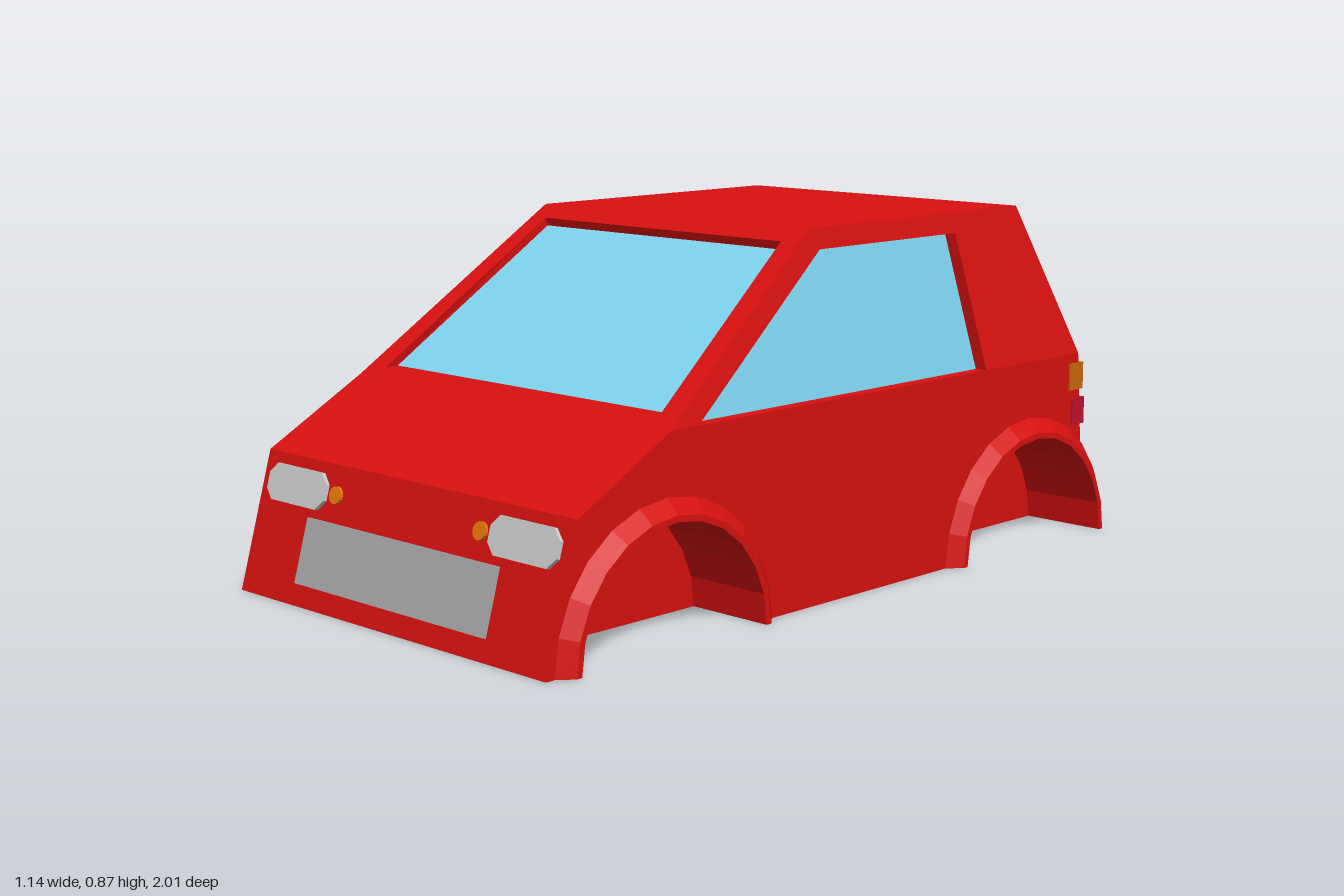
import * as THREE from 'three';

const mat = (color) => new THREE.MeshStandardMaterial({ color, flatShading: true, side: THREE.DoubleSide });
const RED = mat(0xd81010), GLASS = mat(0x7fd4f0), GREY = mat(0xaaaaaa), LAMP = mat(0xcccccc);
const ORANGE = mat(0xe8780c), AMBER = mat(0xc8690c), CRIMSON = mat(0xc01030);

const HALF = 0.54;        // half width below the waist
const WELL = 0.34;        // inner wall of the wheel wells
const ARCH_R = 0.285, ARCH_SEGS = 12;
const AXLES = [0.64, -0.67];

function add(parent, name, geometry, material) {
  const mesh = new THREE.Mesh(geometry, material);
  mesh.name = name;
  parent.add(mesh);
  return mesh;
}

// Geometry from a list of four-cornered faces
function quads(list) {
  const pos = [];
  for (const [a, b, c, d] of list) pos.push(...a, ...b, ...c, ...a, ...c, ...d);
  const g = new THREE.BufferGeometry();
  g.setAttribute('position', new THREE.Float32BufferAttribute(pos, 3));
  g.computeVertexNormals();
  return g;
}

// Panel with a window opening: frame, reveal and recessed glass (corners counter-clockwise)
function windowPanel(parent, name, outer, hole, glass) {
  const faces = [];
  for (let i = 0; i < 4; i++) {
    const j = (i + 1) % 4;
    faces.push([outer[i], outer[j], hole[j], hole[i]], [hole[i], hole[j], glass[j], glass[i]]);
  }
  add(parent, name + 'Frame', quads(faces), RED);
  add(parent, name + 'Glass', quads([glass]), GLASS);
}

// Symmetric quad: bottom edge then top edge, each given as [half width, y, z]
const across = ([bx, by, bz], [tx, ty, tz]) =>
  [[-bx, by, bz], [bx, by, bz], [tx, ty, tz], [-tx, ty, tz]];

// Lower body slab between two x positions, optionally cut by the wheel arches
function bodySlab(x0, x1, arches) {
  const pts = [[1, 0], [0.905, 0.33], [0.63, 0.48], [-0.88, 0.48], [-0.9, 0.24], [-0.97, 0.13], [-1, 0]];
  if (arches) {
    for (const z of [...AXLES].reverse()) {
      for (let i = 0; i <= ARCH_SEGS; i++) {
        const a = Math.PI * (1 - i / ARCH_SEGS);
        pts.push([z + ARCH_R * Math.cos(a), ARCH_R * Math.sin(a)]);
      }
    }
  }
  const shape = new THREE.Shape(pts.map(([z, y]) => new THREE.Vector2(-z, y)));
  const g = new THREE.ExtrudeGeometry(shape, { depth: x1 - x0, bevelEnabled: false });
  return g.rotateY(Math.PI / 2).translate(x0, 0, 0);
}

// Flared lip and tunnel of one wheel arch
function wheelArch(z) {
  const group = new THREE.Group();
  group.name = 'wheelArch';
  const lip = [[0.335, HALF], [0.3, 0.57], [ARCH_R, 0.57], [ARCH_R, HALF]];
  const profile = [...lip.slice(0, 3), [ARCH_R, WELL]].map(([r, x]) => new THREE.Vector2(r, x));
  add(group, 'archLip', new THREE.LatheGeometry(profile, ARCH_SEGS, Math.PI, Math.PI).rotateZ(-Math.PI / 2), RED);
  add(group, 'archLipEnds', quads([1, -1].map((s) => lip.map(([r, x]) => [x, 0, s * r]))), RED);
  group.position.z = z;
  return group;
}

export function createModel() {
  const car = new THREE.Group();
  car.name = 'carBody';

  // Lower body
  add(car, 'lowerBodyCentre', bodySlab(-WELL, WELL, false), RED);
  add(car, 'lowerBodyLeft', bodySlab(WELL, HALF, true), RED);
  add(car, 'lowerBodyRight', bodySlab(-HALF, -WELL, true), RED);

  // Cabin
  add(car, 'roof', quads([across([0.45, 0.87, 0.09], [0.45, 0.87, -0.715])]), RED);
  windowPanel(car, 'windshield',
    across([HALF, 0.48, 0.63], [0.45, 0.87, 0.09]),
    across([0.475, 0.5, 0.602], [0.405, 0.84, 0.132]),
    across([0.475, 0.5, 0.565], [0.405, 0.82, 0.125]));
  windowPanel(car, 'rearWindow',
    across([-HALF, 0.48, -0.88], [-0.45, 0.87, -0.715]),
    across([-0.465, 0.5, -0.872], [-0.4, 0.83, -0.732]),
    across([-0.46, 0.5, -0.84], [-0.4, 0.82, -0.702]));

  // Everything that comes in mirrored pairs
  for (const s of [1, -1]) {
    const side = new THREE.Group();
    side.name = s > 0 ? 'leftSide' : 'rightSide';
    side.scale.x = s;
    car.add(side);

    const slope = (HALF - 0.45) / 0.39;
    const onSide = (inset) => ([z, y]) => [HALF - (y - 0.48) * slope - inset, y, z];
    const outer = [[0.63, 0.48], [-0.88, 0.48], [-0.715, 0.87], [0.09, 0.87]];
    const hole = [[0.545, 0.48], [-0.485, 0.48], [-0.45, 0.82], [0.06, 0.82]];
    windowPanel(side, 'sideWindow', outer.map(onSide(0)), hole.map(onSide(0)), hole.map(onSide(0.033)));

    for (const z of AXLES) side.add(wheelArch(z));

    // Tail lamps wrapping the rear corners
    const amber = add(side, 'rearIndicator', new THREE.BoxGeometry(0.09, 0.07, 0.056), AMBER);
    amber.position.set(0.5, 0.42, -0.869);
    const tail = add(side, 'tailLamp', new THREE.BoxGeometry(0.09, 0.07, 0.052), CRIMSON);
    tail.position.set(0.5, 0.327, -0.879);
  }

  // Front fittings lie on the sloping nose
  const nose = new THREE.Group();
  nose.name = 'noseFittings';
  nose.position.z = 1;
  nose.rotation.x = -Math.atan2(0.095, 0.33);
  car.add(nose);
  const k = 1 / Math.cos(nose.rotation.x);
  add(nose, 'grille', new THREE.BoxGeometry(0.67, 0.15 * k, 0.016), GREY).position.set(0, 0.125 * k, 0.002);

  const w = 0.11, h = 0.0425 * k, c = 0.025;
  const outline = [[-w, c - h], [c - w, -h], [w - c, -h], [w, c - h], [w, h - c], [w - c, h], [c - w, h], [-w, h - c]];
  const lampShape = new THREE.Shape(outline.map(([x, y]) => new THREE.Vector2(x, y)));
  const lampGeometry = new THREE.ExtrudeGeometry(lampShape, { depth: 0.01, bevelEnabled: false });
  const bulbGeometry = new THREE.CylinderGeometry(0.021, 0.021, 0.01, 16).rotateX(Math.PI / 2);
  for (const s of [1, -1]) {
    add(nose, 'headlamp', lampGeometry, LAMP).position.set(s * 0.4, 0.262 * k, 0);
    add(nose, 'frontIndicator', bulbGeometry, ORANGE).position.set(s * 0.255, 0.262 * k, 0.003);
  }
  return car;
}
